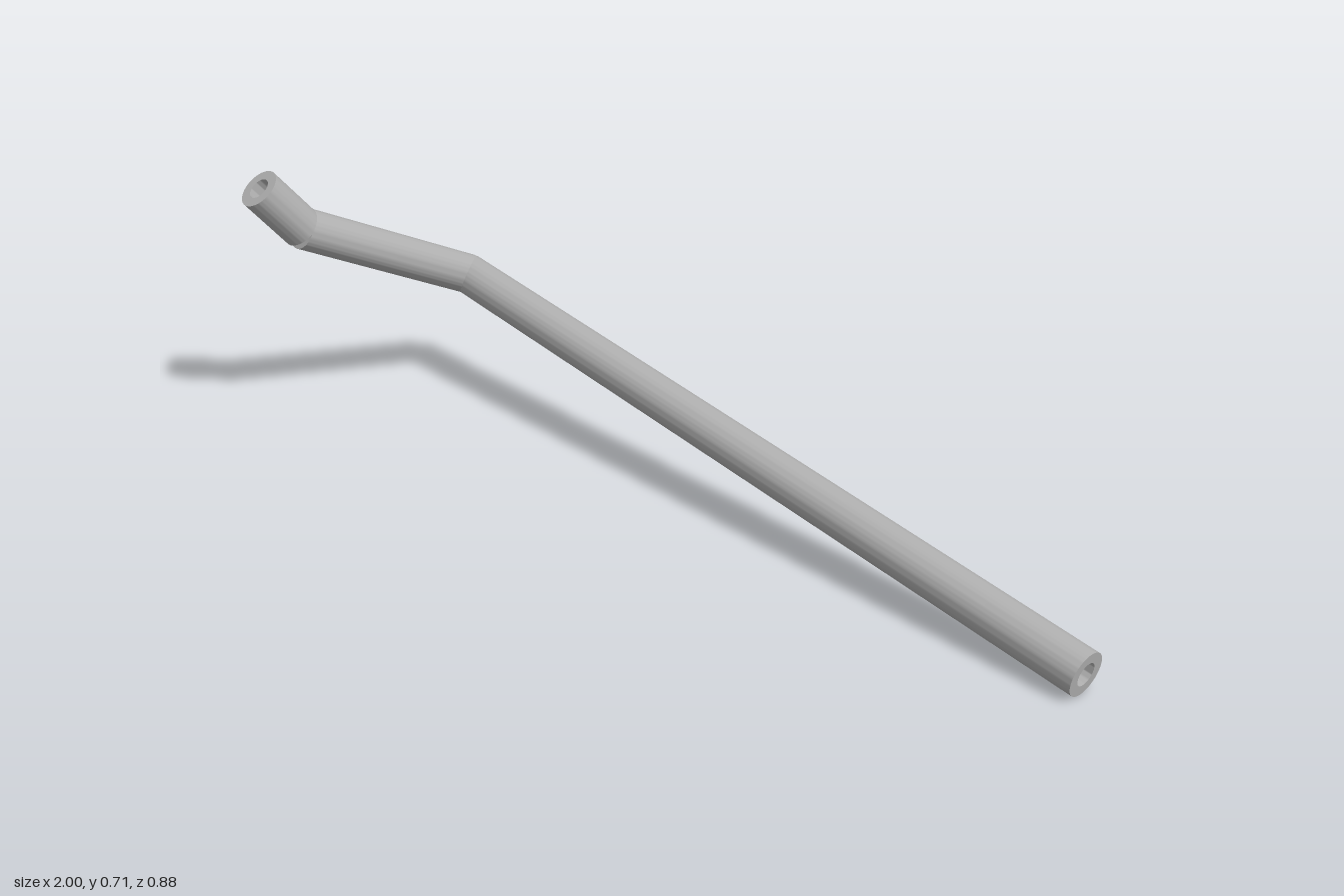
import * as THREE from 'three';
import { toCreasedNormals } from 'three/addons/utils/BufferGeometryUtils.js';

const OUTER = 0.0515;
const INNER = 0.027;

// Hollow straight pipe with square-cut ends, running from a to b
function pipe(name, a, b, material) {
  const axis = b.clone().sub(a);
  const h = axis.length() / 2;
  const profile = [
    [OUTER, -h], [OUTER, h], [INNER, h], [INNER, -h], [OUTER, -h],
  ].map(([r, y]) => new THREE.Vector2(r, y));
  const geometry = toCreasedNormals(new THREE.LatheGeometry(profile, 64), Math.PI / 5);
  const mesh = new THREE.Mesh(geometry, material);
  mesh.name = name;
  mesh.position.copy(a).add(b).multiplyScalar(0.5);
  mesh.quaternion.setFromUnitVectors(new THREE.Vector3(0, 1, 0), axis.normalize());
  return mesh;
}

export function createModel() {
  const group = new THREE.Group();
  group.name = 'bentPipe';
  const metal = new THREE.MeshStandardMaterial({ color: 0xb0b0b0 });
  metal.name = 'grey metal';

  // Ends and joints along the pipe's centre line
  const tip = new THREE.Vector3(-0.949, 0.673, 0.398);
  const upperJoint = new THREE.Vector3(-0.949, 0.55, 0.295);
  const lowerJoint = new THREE.Vector3(-0.949, 0.318, -0.166);
  const farEnd = new THREE.Vector3(0.99, 0.052, -0.387);

  group.add(
    pipe('tipPipe', tip, upperJoint, metal),
    pipe('middlePipe', upperJoint, lowerJoint, metal),
    pipe('longPipe', lowerJoint, farEnd, metal),
  );
  return group;
}
